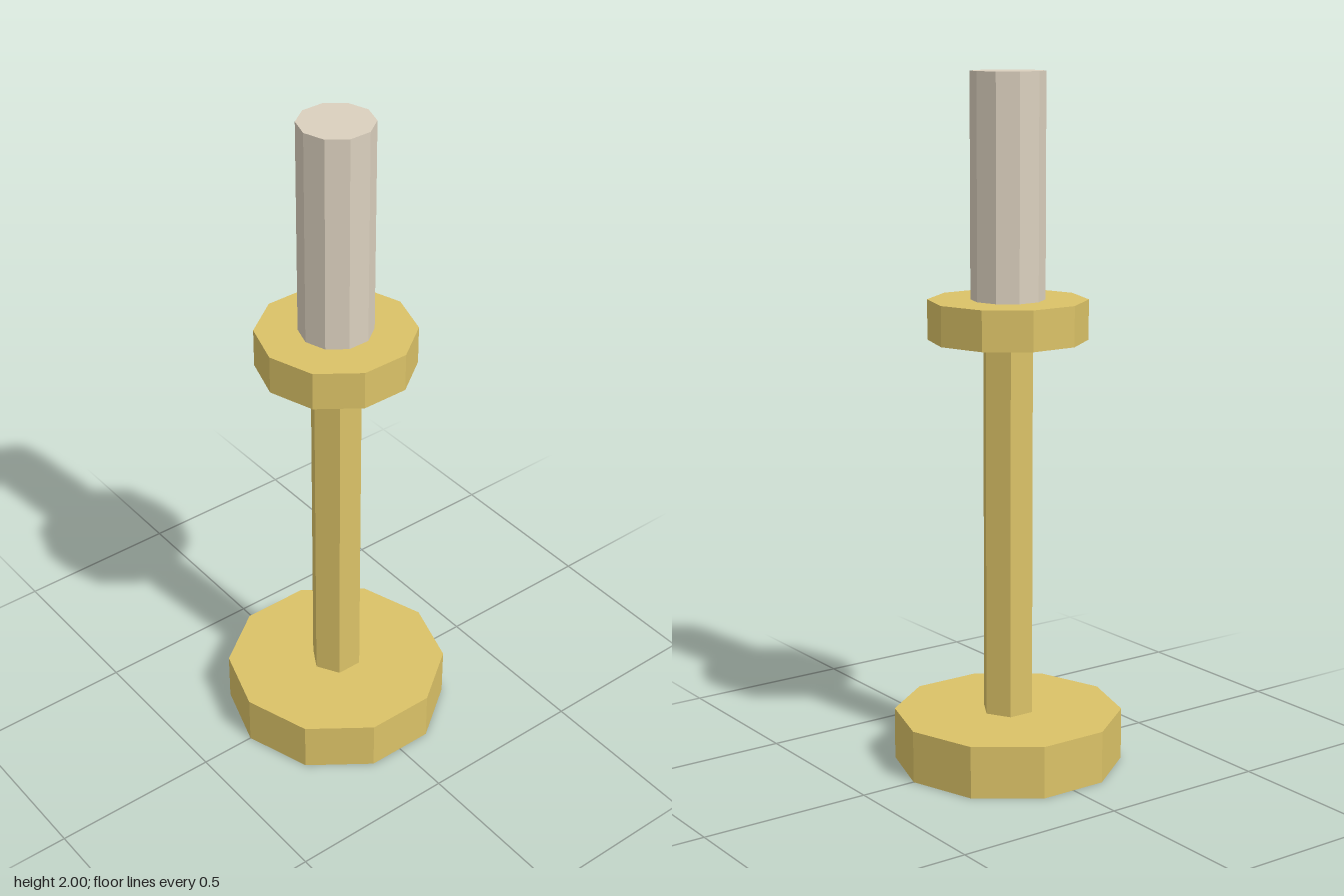
import * as THREE from 'three';

export function createModel() {
  const model = new THREE.Group();
  model.name = 'candlestick';

  const gold = new THREE.MeshStandardMaterial({ color: 0xdbc267, flatShading: true });
  gold.name = 'gold';
  const wax = new THREE.MeshStandardMaterial({ color: 0xdbd0be, flatShading: true });
  wax.name = 'wax';

  // Upright faceted prism between two heights, with a corner facing the front
  function prism(name, radius, bottom, top, sides, material) {
    const geometry = new THREE.CylinderGeometry(radius, radius, top - bottom, sides);
    const mesh = new THREE.Mesh(geometry, material);
    mesh.name = name;
    mesh.position.y = (bottom + top) / 2;
    model.add(mesh);
  }

  prism('base', 0.333, 0, 0.152, 10, gold);
  prism('stem', 0.077, 0.152, 1.25, 6, gold);
  prism('dripTray', 0.228, 1.25, 1.365, 10, gold);
  prism('candle', 0.106, 1.365, 2, 10, wax);

  return model;
}
